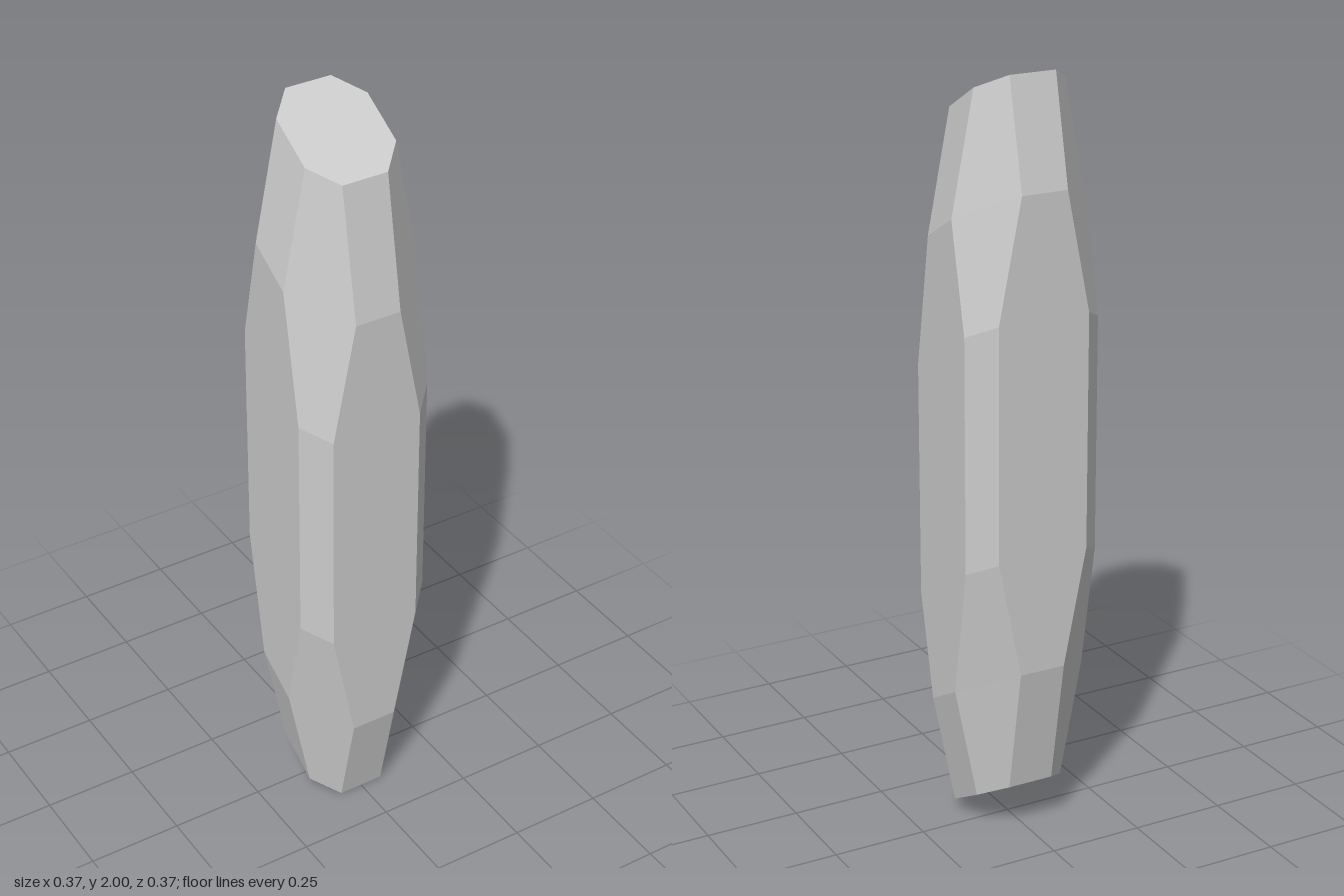
import * as THREE from 'three';

const SLANT = 0.565; // every cross-section tilts down towards the front

// Octagon with corners (±a, ±b) and (±b, ±a), counterclockwise from above
function ring(a, b, height) {
  return [[a, b], [b, a], [b, -a], [a, -b], [-a, -b], [-b, -a], [-b, a], [-a, b]]
    .map(([x, z]) => new THREE.Vector3(x, height - SLANT * z, z));
}

// Flat-faced solid through the rings, from bottom to top, closed at both ends
function loft(rings) {
  const points = [];
  const n = rings[0].length;
  for (let r = 0; r < rings.length - 1; r++) {
    const low = rings[r], high = rings[r + 1];
    for (let i = 0; i < n; i++) {
      const j = (i + 1) % n;
      points.push(low[i], low[j], high[j], low[i], high[j], high[i]);
    }
  }
  const bottom = rings[0], top = rings[rings.length - 1];
  for (let i = 1; i < n - 1; i++) {
    points.push(top[0], top[i], top[i + 1]);
    points.push(bottom[0], bottom[i + 1], bottom[i]);
  }
  const geometry = new THREE.BufferGeometry().setFromPoints(points);
  geometry.computeVertexNormals();
  return geometry;
}

export function createModel() {
  const group = new THREE.Group();
  group.name = 'crystal';

  // Half profile from waist to tip: [a, b, distance from the middle]
  const half = [[0.124, 0.185, 0.308], [0.062, 0.185, 0.62], [0.062, 0.124, 0.93]];
  const rings = [
    ...half.map(([a, b, h]) => ring(a, b, 1 - h)).reverse(),
    ...half.map(([a, b, h]) => ring(a, b, 1 + h)),
  ];

  const material = new THREE.MeshStandardMaterial({ color: 0xcccccc, flatShading: true });
  const shard = new THREE.Mesh(loft(rings), material);
  shard.name = 'facetedShard';
  group.add(shard);
  return group;
}
